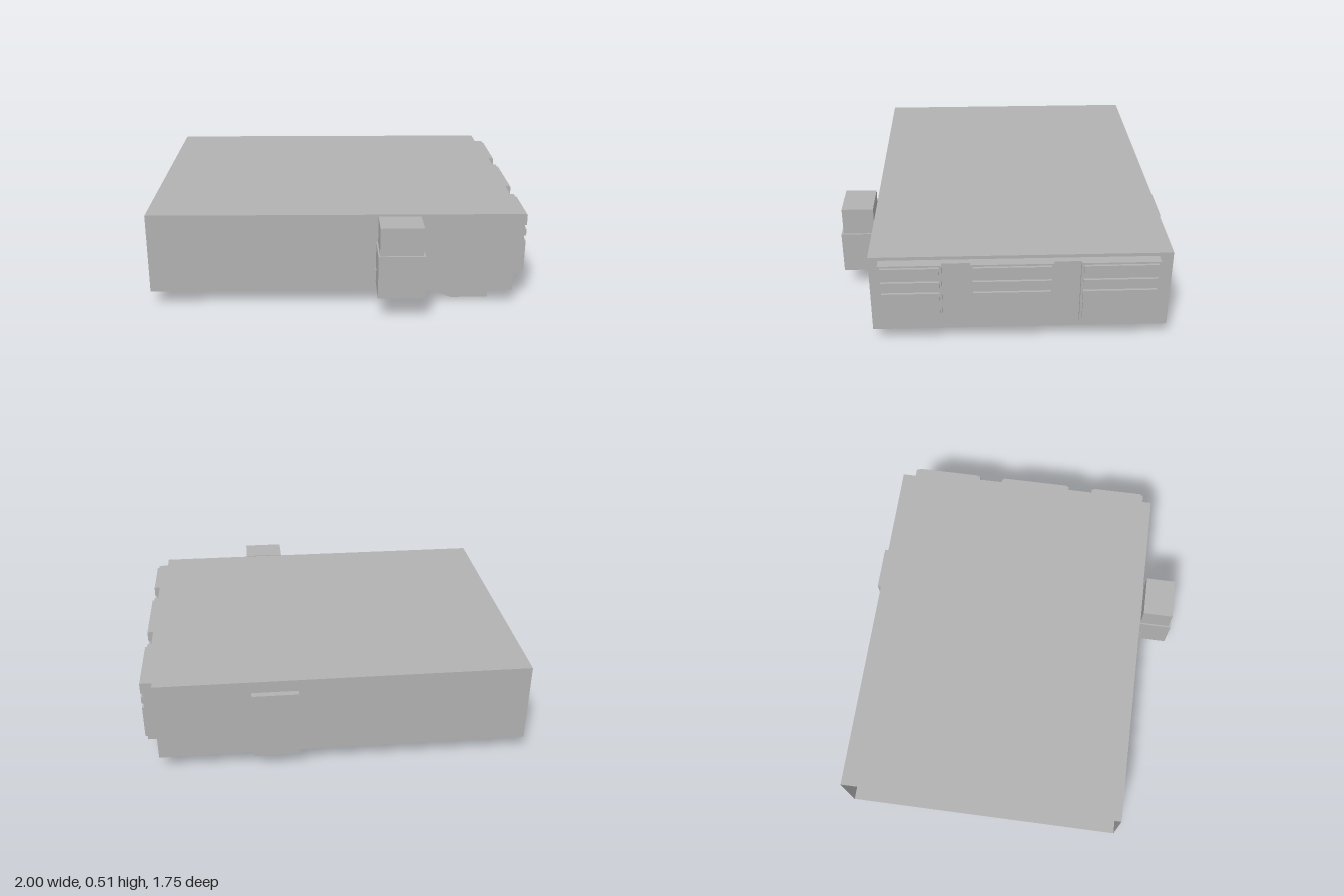
import * as THREE from 'three';

const grey = new THREE.MeshStandardMaterial({ color: 0xb2b2b2, side: THREE.DoubleSide });
grey.name = 'plain grey';

export function createModel() {
  const model = new THREE.Group();
  model.name = 'building';

  const add = (name, geometry) => {
    const mesh = new THREE.Mesh(geometry, grey);
    mesh.name = name;
    model.add(mesh);
    return mesh;
  };
  // Box from its limits on each axis
  const box = (name, x0, x1, y0, y1, z0, z1) => {
    const mesh = add(name, new THREE.BoxGeometry(x1 - x0, y1 - y0, z1 - z0));
    mesh.position.set((x0 + x1) / 2, (y0 + y1) / 2, (z0 + z1) / 2);
    return mesh;
  };

  // Thin hollow shell, open at the -x end
  const shell = box('shell', -1, 0.93, 0.077, 0.508, -0.84, 0.675);
  const faces = Array.from(shell.geometry.index.array);
  faces.splice(6, 6);
  shell.geometry.setIndex(faces);
  shell.geometry.clearGroups();

  // Bay wall on the +x end: backing plate and three raised bays
  box('bayBacking', 0.93, 0.965, 0.147, 0.49, -0.77, 0.625);
  for (const [z0, z1] of [[-0.77, -0.375], [-0.24, 0.172], [0.313, 0.625]]) {
    box('bay', 0.965, 0.985, 0.147, 0.49, z0, z1);
    for (const [y0, y1] of [[0.16, 0.335], [0.363, 0.4], [0.423, 0.48]])
      box('bayPanel', 0.985, 0.998, y0, y1, z0 + 0.012, z1 - 0.012);
  }
  for (const z of [-0.42, 0.08]) box('bayPeg', 0.93, 0.95, 0.138, 0.147, z - 0.008, z + 0.008);

  // Stacked box on the front with small side knobs
  box('lowerBox', 0.2, 0.44, 0.125, 0.355, 0.675, 0.874);
  box('upperBox', 0.208, 0.43, 0.355, 0.504, 0.693, 0.862);
  box('sideKnobs', 0.196, 0.447, 0.206, 0.214, 0.695, 0.715);

  // Door slab on the back
  box('backDoor', 0.2, 0.44, 0.077, 0.445, -0.874, -0.84);

  // Sloped blocks under the floor
  const profile = new THREE.Shape([
    [0.48, 0.077], [0.48, 0.07], [0.605, 0.02], [0.805, 0.02], [0.805, 0.077],
  ].map(([x, y]) => new THREE.Vector2(x, y)));
  for (const [z0, z1] of [[-0.757, -0.275], [-0.2, 0.147], [0.303, 0.645]]) {
    const block = add('underBlock', new THREE.ExtrudeGeometry(profile, { depth: z1 - z0, bevelEnabled: false }));
    block.position.z = z0;
  }

  // Ridges across the middle slope
  for (const x of [0.5, 0.53, 0.56]) {
    const y = 0.07 - (x - 0.48) * 0.4;
    const ridge = box('slopeRidge', x - 0.007, x + 0.007, y - 0.004, y + 0.004, -0.18, 0.127);
    ridge.rotation.z = -Math.atan(0.4);
  }

  // Small pegs under the blocks
  for (const z of [-0.648, -0.112, 0.075]) {
    const peg = add('peg', new THREE.CylinderGeometry(0.006, 0.006, 0.02, 10));
    peg.position.set(0.7, 0.01, z);
  }

  // Thin rails along the underside
  for (const z of [-0.24, 0.22]) box('floorRail', -0.63, 0.48, 0.073, 0.077, z - 0.006, z + 0.006);

  return model;
}
